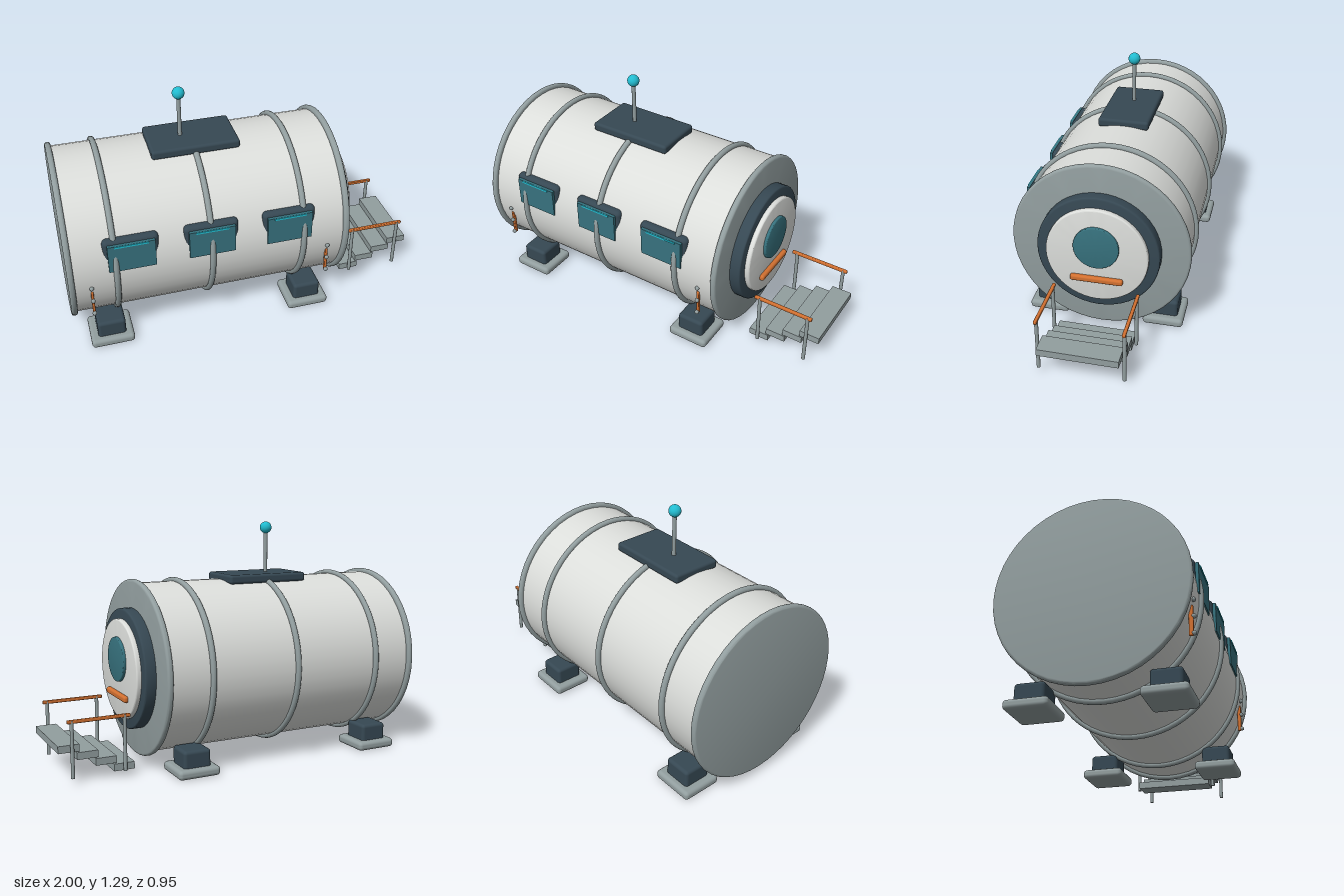
import * as THREE from 'three';
import { RoundedBoxGeometry } from 'three/addons/geometries/RoundedBoxGeometry.js';
import { toCreasedNormals } from 'three/addons/utils/BufferGeometryUtils.js';

const paint = (name, color) => {
  const m = new THREE.MeshStandardMaterial({ color });
  m.name = name;
  return m;
};

export function createModel() {
  const white = paint('hull white', 0xdcdedb);
  const gray = paint('metal gray', 0x929e9f);
  const dark = paint('dark slate', 0x364853);
  const glass = paint('teal glass', 0x37727e);
  const cyan = paint('cyan light', 0x22bcd0);
  const orange = paint('safety orange', 0xd27030);

  const model = new THREE.Group();
  model.name = 'habitatModule';
  const axisY = 0.52;

  const add = (parent, name, geometry, material, x = 0, y = 0, z = 0) => {
    const mesh = new THREE.Mesh(geometry, material);
    mesh.name = name;
    mesh.position.set(x, y, z);
    parent.add(mesh);
    return mesh;
  };
  const group = (name) => {
    const g = new THREE.Group();
    g.name = name;
    model.add(g);
    return g;
  };
  const rounded = (w, h, d, r) => new RoundedBoxGeometry(w, h, d, 3, r);
  const rod = (r, length) => new THREE.CylinderGeometry(r, r, length, 12);

  // Disc along x from x0 to x1 with softened rims
  const disc = (x0, x1, radius, bevel) => {
    const pts = [[0, x0]];
    for (const [cx, start] of [[x0 + bevel, -90], [x1 - bevel, 0]]) {
      for (let i = 0; i <= 4; i++) {
        const a = THREE.MathUtils.degToRad(start + i * 22.5);
        pts.push([radius - bevel + bevel * Math.cos(a), cx + bevel * Math.sin(a)]);
      }
    }
    pts.push([0, x1]);
    const lathe = new THREE.LatheGeometry(pts.map(([r, v]) => new THREE.Vector2(r, v)), 48);
    return toCreasedNormals(lathe.rotateZ(-Math.PI / 2), 0.5);
  };

  // Pressure hull, end caps and hoops
  const hull = group('hull');
  add(hull, 'shell', new THREE.CylinderGeometry(0.456, 0.456, 1.47, 48, 1, true).rotateZ(Math.PI / 2), white, -0.245, axisY);
  add(hull, 'backCap', disc(-1.0, -0.967, 0.477, 0.014), gray, 0, axisY);
  add(hull, 'doorCap', disc(0.48, 0.513, 0.477, 0.014), gray, 0, axisY);
  for (const x of [-0.75, -0.245, 0.257]) {
    add(hull, 'hoop', new THREE.TorusGeometry(0.461, 0.016, 12, 64).rotateY(Math.PI / 2), gray, x, axisY);
  }

  // Round hatch on the end
  const hatch = group('hatch');
  add(hatch, 'hatchCollar', disc(0.5, 0.572, 0.325, 0.01), dark, 0, axisY);
  add(hatch, 'hatchDoor', disc(0.56, 0.598, 0.27, 0.008), white, 0, axisY);
  add(hatch, 'porthole', disc(0.59, 0.614, 0.12, 0.005), glass, 0, 0.575);
  add(hatch, 'hatchHandle', rounded(0.03, 0.034, 0.28, 0.012), orange, 0.606, 0.382);

  // Windows along the front side
  for (const x of [-0.665, -0.245, 0.175]) {
    const win = group('window');
    add(win, 'windowFrame', rounded(0.29, 0.2, 0.07, 0.025), dark, x, 0.62, 0.411);
    add(win, 'windowPane', new THREE.BoxGeometry(0.245, 0.16, 0.03), glass, x, 0.62, 0.447);
    add(win, 'lightStrip', new THREE.BoxGeometry(0.175, 0.01, 0.009), cyan, x, 0.694, 0.462);
  }

  // Grab handles with knobs
  for (const x of [-0.885, 0.397]) {
    const handle = group('grabHandle');
    add(handle, 'handleBar', rounded(0.014, 0.15, 0.022, 0.005), orange, x, 0.345, 0.441);
    for (const y of [0.282, 0.366, 0.45]) {
      add(handle, 'handleKnob', new THREE.SphereGeometry(0.012, 12, 8), gray, x, y, 0.454);
    }
  }

  // Roof box and antenna
  const roof = group('roofUnit');
  add(roof, 'roofBox', rounded(0.475, 0.05, 0.28, 0.015), dark, -0.243, 0.981);
  add(roof, 'antennaMast', rod(0.011, 0.25), gray, -0.3, 1.12);
  add(roof, 'antennaBall', new THREE.SphereGeometry(0.033, 24, 16), cyan, -0.3, 1.255);

  // Four feet
  for (const x of [-0.8, 0.317]) {
    for (const side of [-1, 1]) {
      const foot = group('foot');
      add(foot, 'footBlock', rounded(0.153, 0.12, 0.153, 0.018), dark, x, 0.08, side * 0.321);
      add(foot, 'footPad', rounded(0.235, 0.05, 0.222, 0.02), gray, x, 0.025, side * 0.321);
    }
  }

  // Steps with handrails
  const steps = group('steps');
  for (let i = 0; i < 4; i++) {
    add(steps, 'tread', new THREE.BoxGeometry(0.112, 0.038, 0.42), gray, 0.65 + i * 0.098, 0.05 + i * 0.0447);
  }
  for (const side of [-1, 1]) {
    for (const x of [0.65, 0.93]) add(steps, 'railPost', rod(0.01, 0.3), gray, x, 0.182, side * 0.224);
    add(steps, 'handrail', rounded(0.335, 0.018, 0.018, 0.005), orange, 0.787, 0.326, side * 0.224);
  }
  return model;
}
